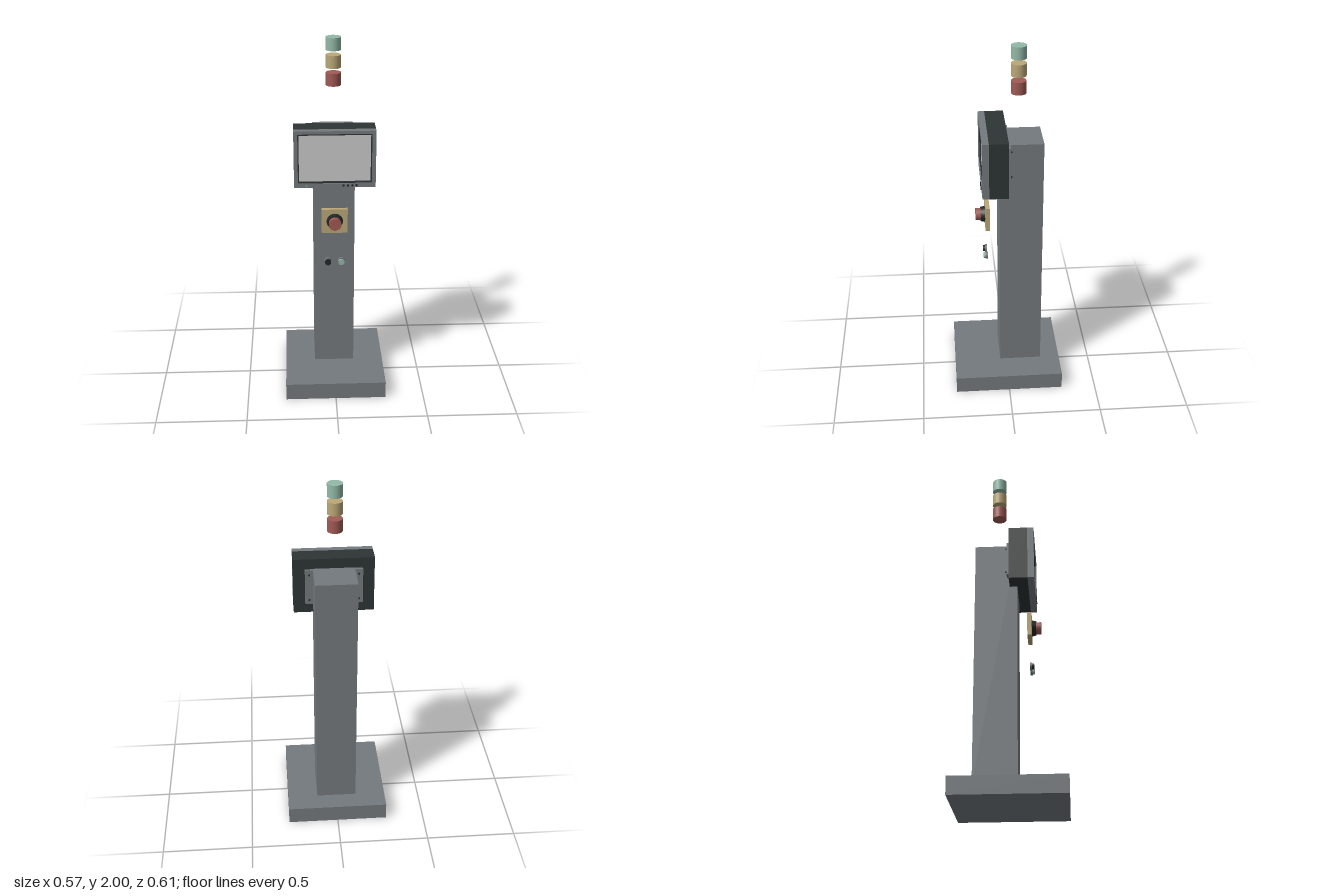
import * as THREE from 'three';

const mat = (name, color) => {
  const m = new THREE.MeshStandardMaterial({ color });
  m.name = name;
  return m;
};

export function createModel() {
  const root = new THREE.Group();
  root.name = 'operatorStand';
  const grey = mat('steelGrey', 0x747a7e);
  const dark = mat('darkHousing', 0x2e3534);
  const black = mat('black', 0x232627);
  const pale = mat('screenGrey', 0xcacaca);
  const red = mat('red', 0xa05a53);
  const yellow = mat('yellow', 0xbba878);
  const green = mat('green', 0x93b9a8);

  const add = (name, geometry, material, x, y, z) => {
    const mesh = new THREE.Mesh(geometry, material);
    mesh.name = name;
    mesh.position.set(x, y, z);
    root.add(mesh);
    return mesh;
  };
  // Box given by its limits on each axis
  const box = (name, m, x0, x1, y0, y1, z0, z1) =>
    add(name, new THREE.BoxGeometry(x1 - x0, y1 - y0, z1 - z0), m,
      (x0 + x1) / 2, (y0 + y1) / 2, (z0 + z1) / 2);
  // Cylinder along z, from z0 (radius r0) to z1 (radius r1)
  const knob = (name, m, x, y, z0, z1, r0, r1 = r0, sides = 24) =>
    add(name, new THREE.CylinderGeometry(r1, r0, z1 - z0, sides).rotateX(Math.PI / 2), m,
      x, y, (z0 + z1) / 2);
  // Rectangular frame with an opening, extruded from z0 to z1
  const frame = (name, m, w, y0, y1, iw, iy0, iy1, z0, z1) => {
    const rect = (C, a, b, c) => new C([
      new THREE.Vector2(-a, b), new THREE.Vector2(a, b),
      new THREE.Vector2(a, c), new THREE.Vector2(-a, c)]);
    const shape = rect(THREE.Shape, w, y0, y1);
    shape.holes.push(rect(THREE.Path, iw, iy0, iy1));
    add(name, new THREE.ExtrudeGeometry(shape, { depth: z1 - z0, bevelEnabled: false }), m, 0, 0, z0);
  };

  // Base and column
  box('basePlate', grey, -0.283, 0.283, 0, 0.097, -0.306, 0.306);
  box('column', grey, -0.113, 0.113, 0.097, 1.492, -0.195, 0.042);

  // Monitor: housing, bezel, inner rim and recessed screen
  box('monitorHousing', dark, -0.219, 0.219, 1.231, 1.548, 0, 0.104);
  frame('monitorBezel', grey, 0.219, 1.231, 1.548, 0.198, 1.254, 1.531, 0.104, 0.14);
  frame('screenRim', dark, 0.198, 1.254, 1.531, 0.192, 1.262, 1.523, 0.104, 0.134);
  box('screen', pale, -0.192, 0.192, 1.262, 1.523, 0.104, 0.125);

  // Monitor controls
  for (let i = 0; i < 4; i++) {
    const x = 0.046 + i * 0.0235;
    box('monitorButton', black, x - 0.005, x + 0.005, 1.238, 1.248, 0.138, 0.145);
  }
  box('powerLight', green, -0.158, -0.148, 1.24, 1.245, 0.138, 0.143);

  // Mounting flanges with bolts on both sides of the column
  for (const s of [-1, 1]) {
    const x = s * 0.134;
    box('mountFlange', grey, x - 0.022, x + 0.022, 1.288, 1.49, -0.016, 0);
    for (const y of [1.315, 1.463]) knob('mountBolt', dark, x, y, -0.024, -0.016, 0.005, 0.006, 12);
  }

  // Emergency stop
  box('stopPlate', yellow, -0.071, 0.071, 0.953, 1.092, 0.094, 0.118);
  knob('stopCollar', black, 0, 1.023, 0.118, 0.142, 0.045, 0.04);
  knob('stopButton', red, 0, 1.023, 0.142, 0.17, 0.034);

  // Push buttons
  for (const [name, x, m] of [['blackButton', -0.037, black], ['greenButton', 0.037, green]]) {
    knob(name + 'Ring', grey, x, 0.777, 0.106, 0.118, 0.022);
    knob(name, m, x, 0.777, 0.118, 0.129, 0.017);
  }

  // Signal lamps
  [['redLamp', red, 1.74], ['yellowLamp', yellow, 1.836], ['greenLamp', green, 1.931]].forEach(([name, m, y]) =>
    add(name, new THREE.CylinderGeometry(0.041, 0.041, 0.069, 40), m, 0, y + 0.0345, -0.067));

  return root;
}
